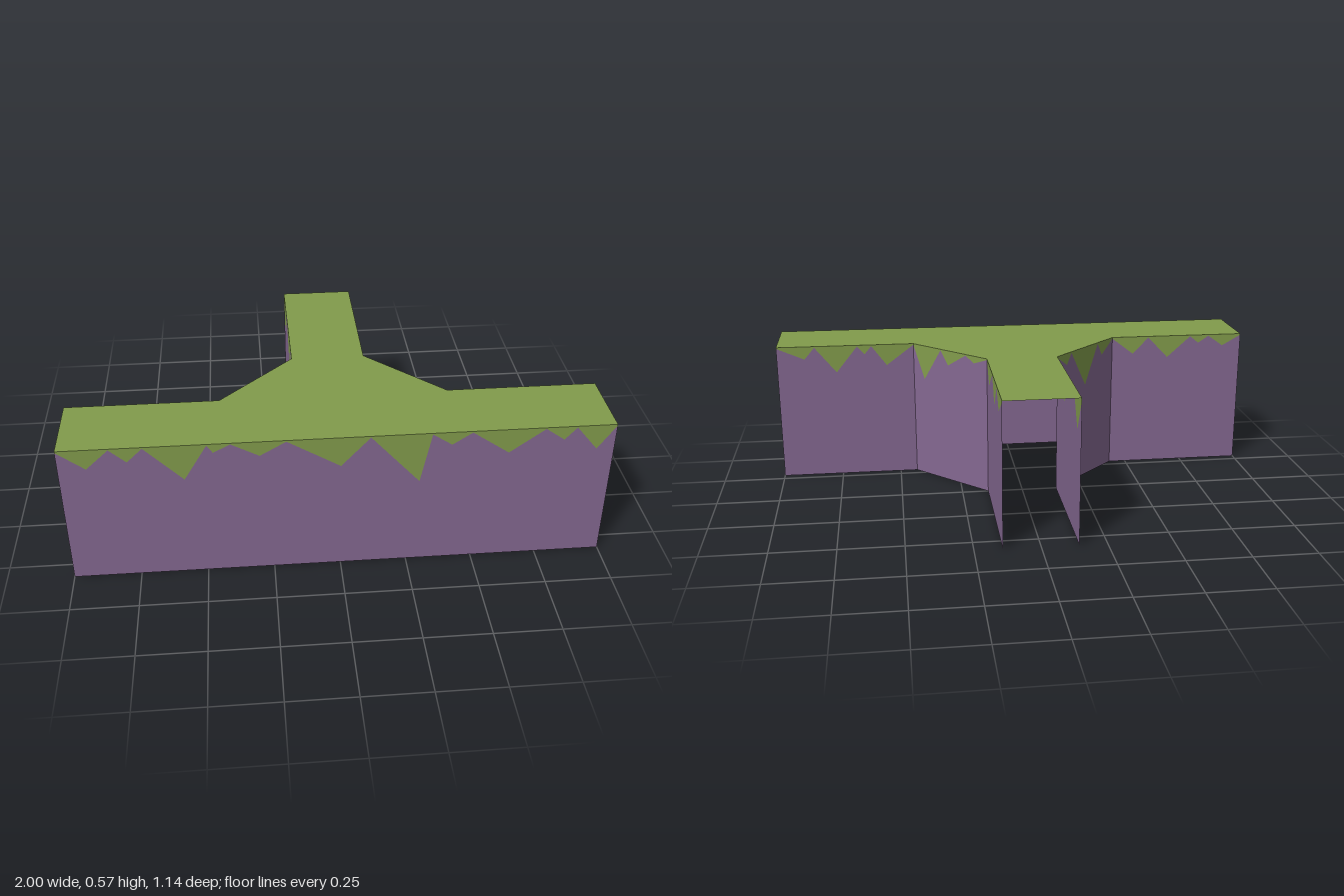
import * as THREE from 'three';

const H = 0.571;

function material(name, color) {
  const m = new THREE.MeshStandardMaterial({ color, side: THREE.DoubleSide });
  m.name = name;
  return m;
}

// Corners (x, z) of the T-shaped plan
const A = [-1, 0.571], B = [1, 0.571], C = [1, 0.286], D = [0.429, 0.286], E = [0.143, 0], F = [0.143, -0.571];
const mirror = ([x, z]) => [-x, z];

// Each wall runs left to right as seen from outside.
// Grass drips: [fraction along the wall, depth, optional position of the notch after it]
const walls = [
  ['frontWall', A, B, [[0.05, 0.082], [0.122, 0.06], [0.22, 0.147], [0.273, 0.037], [0.355, 0.06],
    [0.5, 0.122], [0.644, 0.208, 0.664], [0.7, 0.053], [0.805, 0.1], [0.905, 0.055], [0.967, 0.102]]],
  ['backWallLeft', C, D, [[0.2, 0.055], [0.43, 0.115], [0.64, 0.04], [0.8, 0.09]]],
  ['slantWallLeft', D, E, [[0.15, 0.145], [0.48, 0.063], [0.83, 0.03]]],
  ['stemWallLeft', E, F, [[0.16, 0.083, 0.38], [0.51, 0.102], [0.79, 0.076]]],
  ['stemWallRight', mirror(F), mirror(E), [[0.15, 0.145], [0.38, 0.06], [0.66, 0.13], [0.88, 0.04]]],
  ['slantWallRight', mirror(E), mirror(D), [[0.17, 0.05], [0.5, 0.165], [0.8, 0.06]]],
  ['backWallRight', mirror(D), mirror(C), [[0.16, 0.075], [0.43, 0.095], [0.67, 0.035], [0.86, 0.05]]],
];

// Zigzag edge: a notch sits between drips, nearer to the shallower one
function grassEdge(drips, length) {
  const notch = H - 0.005;
  const edge = [[0, notch]];
  drips.forEach(([u, depth, notchAt], i) => {
    edge.push([u * length, H - depth]);
    const [nextU, nextDepth] = drips[i + 1] ?? [1, 0];
    const at = notchAt ?? u + (nextU - u) * depth / (depth + nextDepth);
    edge.push([at * length, notch]);
  });
  return edge;
}

function polygon(points) {
  return new THREE.ShapeGeometry(new THREE.Shape(points.map(([x, y]) => new THREE.Vector2(x, y))));
}

function addMesh(group, name, geometry, mat) {
  const mesh = new THREE.Mesh(geometry, mat);
  mesh.name = name;
  group.add(mesh);
  return mesh;
}

export function createModel() {
  const group = new THREE.Group();
  group.name = 'wallJunction';
  const grass = material('grass green', 0x829c4c);
  const earth = material('earth purple', 0x846891);

  // Flat grassy top
  const plan = [A, B, C, D, E, F, mirror(F), mirror(E), mirror(D), mirror(C)];
  const top = addMesh(group, 'grassTop', polygon(plan.map(([x, z]) => [x, -z])), grass);
  top.rotation.x = -Math.PI / 2;
  top.position.y = H;

  // Open-ended walls, each divided along the jagged grass edge
  for (const [name, a, b, drips] of walls) {
    const dx = b[0] - a[0], dz = b[1] - a[1], length = Math.hypot(dx, dz);
    const edge = grassEdge(drips, length);
    const wall = new THREE.Group();
    wall.name = name;
    addMesh(wall, 'earth', polygon([[0, 0], [length, 0], ...edge.slice().reverse()]), earth);
    addMesh(wall, 'grassFringe', polygon([...edge, [length, H], [0, H]]), grass);
    wall.position.set(a[0], 0, a[1]);
    wall.rotation.y = Math.atan2(-dz, dx);
    group.add(wall);
  }
  return group;
}
